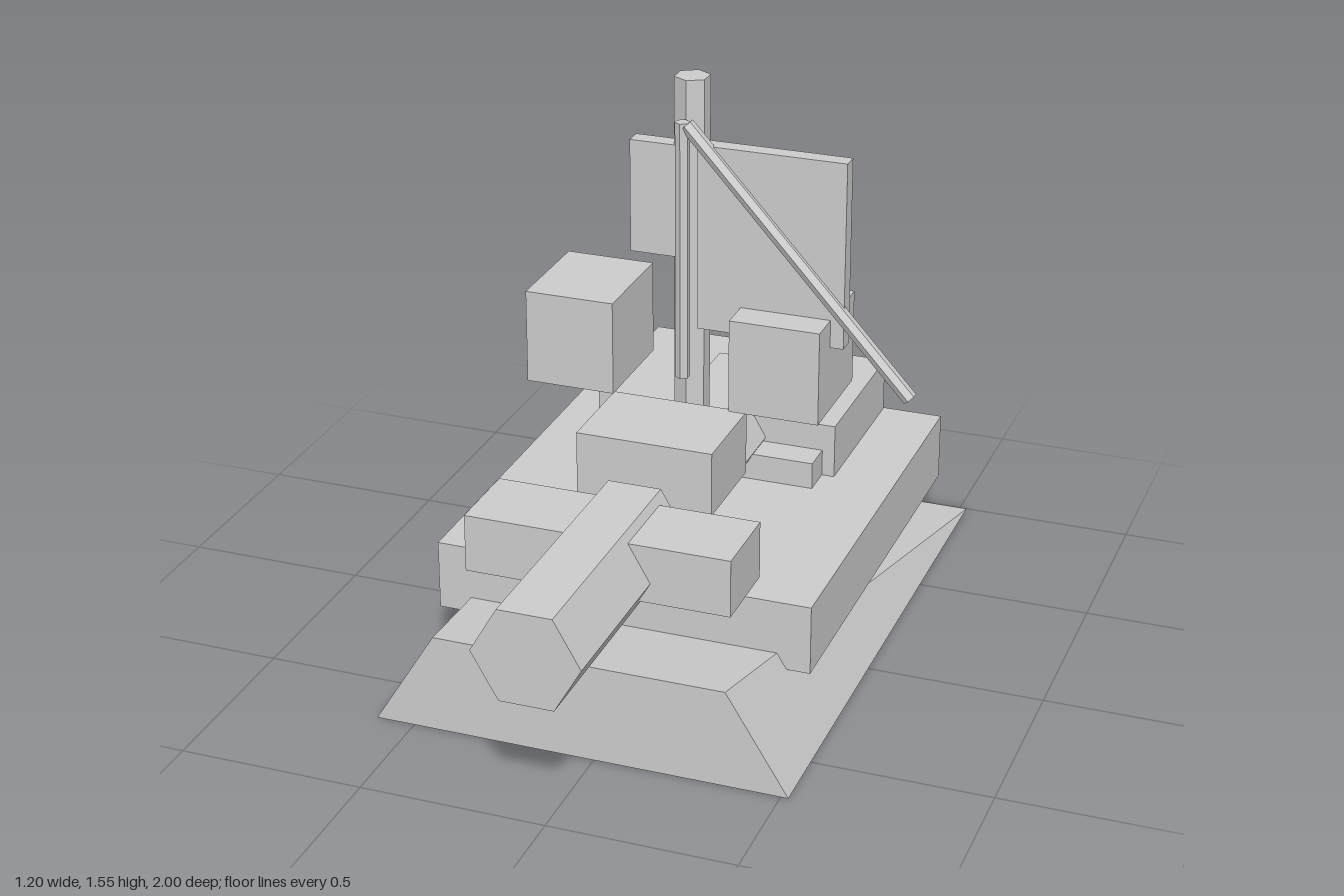
import * as THREE from 'three';

export function createModel() {
  const model = new THREE.Group();
  const grey = new THREE.MeshStandardMaterial({ color: 0xcccccc, flatShading: true });
  grey.name = 'plain grey';

  const add = (name, geometry) => {
    const mesh = new THREE.Mesh(geometry, grey);
    mesh.name = name;
    model.add(mesh);
    return mesh;
  };

  // Box given by its limits on each axis
  const box = (name, [x0, x1], [y0, y1], [z0, z1]) =>
    add(name, new THREE.BoxGeometry(x1 - x0, y1 - y0, z1 - z0))
      .position.set((x0 + x1) / 2, (y0 + y1) / 2, (z0 + z1) / 2);

  // Six-sided bar between two points
  const bar = (name, a, b, radius, turn = 0) => {
    const start = new THREE.Vector3(...a), end = new THREE.Vector3(...b);
    const dir = end.clone().sub(start);
    const geometry = new THREE.CylinderGeometry(radius, radius, dir.length(), 6);
    geometry.rotateY(turn);
    const mesh = add(name, geometry);
    mesh.position.copy(start).add(end).multiplyScalar(0.5);
    mesh.quaternion.setFromUnitVectors(new THREE.Vector3(0, 1, 0), dir.normalize());
  };

  const cx = -0.042; // centreline of the body

  // Base wedge: a box whose top slopes to the back edge and narrows at the front
  const wedge = new THREE.BufferGeometry();
  const A = [-0.605, 0, -1], B = [0.52, 0, -1], C = [0.52, 0, 0.68], D = [-0.605, 0, 0.68];
  const E = [-0.438, 0.27, 0.68], F = [0.352, 0.27, 0.68];
  const faces = [A, B, C, A, C, D, D, C, F, D, F, E, A, E, F, A, F, B, A, D, E, B, F, C];
  wedge.setAttribute('position', new THREE.Float32BufferAttribute(faces.flat(), 3));
  wedge.computeVertexNormals();
  add('baseWedge', wedge);

  // Hull and its deck blocks
  box('hull', [-0.56, 0.473], [0.177, 0.368], [-0.838, 0.37]);
  box('rearDeck', [-0.392, 0.302], [0.368, 0.52], [-0.835, -0.36]);
  box('deckStep', [-0.355, 0.267], [0.368, 0.443], [-0.37, -0.27]);
  box('frontBlock', [-0.403, 0.316], [0.4, 0.558], [0.315, 0.54]);
  box('turretBlock', [-0.23, 0.145], [0.49, 0.668], [-0.07, 0.203]);
  box('rearKnob', [-0.06, 0.052], [0.67, 0.79], [-0.595, -0.53]);

  // Hexagonal barrels, points to the sides
  bar('frontBarrel', [cx, 0.455, 0.27], [cx, 0.455, 1], 0.145, Math.PI / 6);
  bar('rearBarrel', [cx, 0.455, -0.592], [cx, 0.455, 0.14], 0.145, Math.PI / 6);

  // Floating side cubes
  for (const side of [-1, 1]) {
    const x = cx + side * 0.285;
    box(side > 0 ? 'leftCube' : 'rightCube', [x - 0.123, x + 0.123], [0.698, 0.957], [-0.297, 0.005]);
  }

  // Mast with two panels, an upright pole and a slanted boom
  bar('mast', [cx, 0.57, -0.163], [cx, 1.552, -0.163], 0.048);
  box('largePanel', [-0.002, 0.402], [0.88, 1.392], [-0.135, -0.088]);
  box('smallPanel', [-0.205, 0.12], [1.055, 1.367], [-0.181, -0.133]);
  bar('pole', [cx, 0.735, -0.088], [cx, 1.45, -0.088], 0.02);
  bar('boom', [-0.03, 1.445, -0.087], [0.586, 0.769, -0.087], 0.02);

  return model;
}
